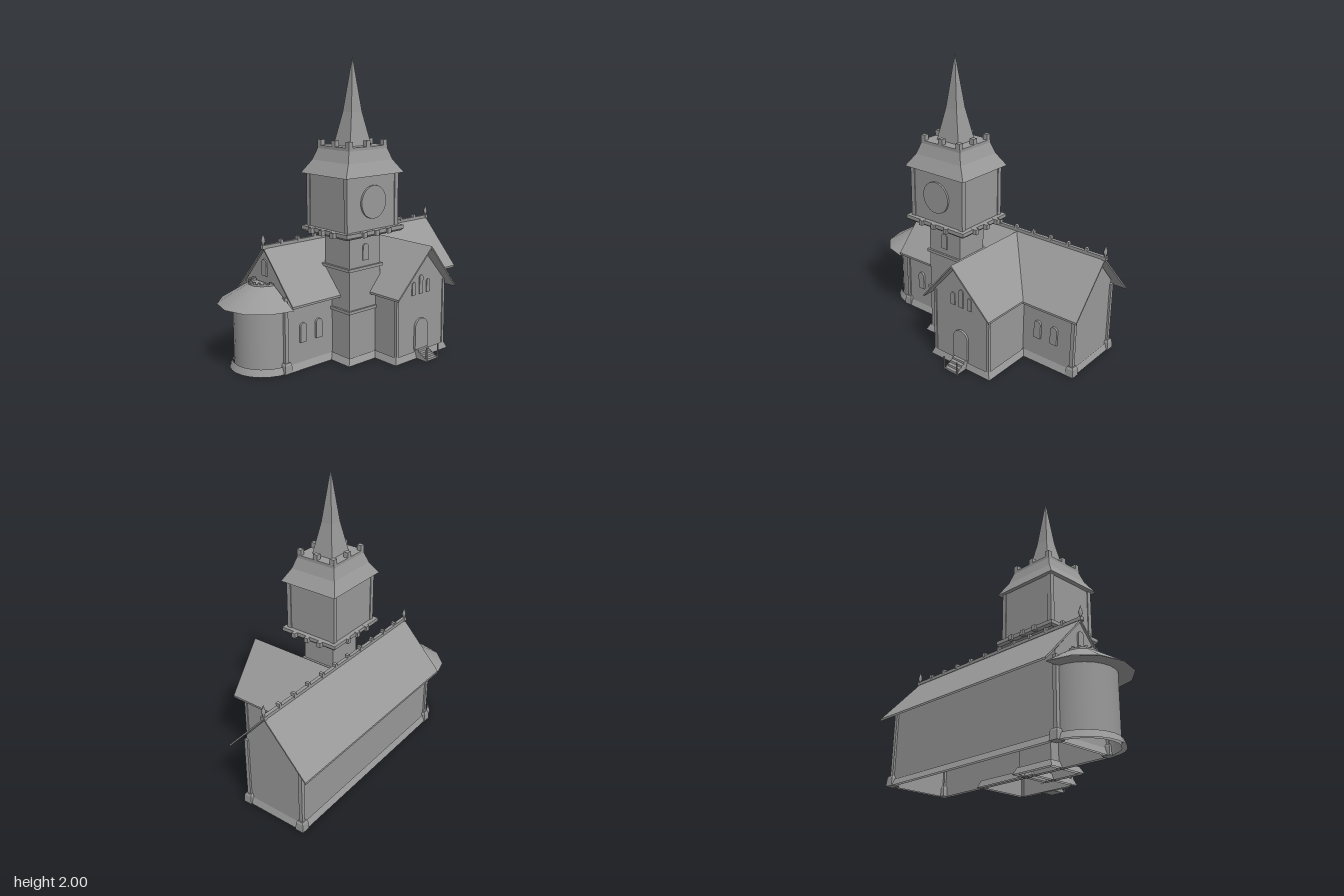
import * as THREE from 'three';

const mat = new THREE.MeshStandardMaterial({ color: 0x999999, side: THREE.DoubleSide });

export function createModel() {
  const root = new THREE.Group();
  const add = (name, geo, x = 0, y = 0, z = 0, parent = root) => {
    const m = new THREE.Mesh(geo, mat);
    m.name = name;
    m.position.set(x, y, z);
    parent.add(m);
    return m;
  };
  const box = (name, w, h, d, x, y, z) => add(name, new THREE.BoxGeometry(w, h, d), x, y, z);

  // Flat-shaded surface from convex polygons
  const faces = (list) => {
    const p = [];
    for (const f of list)
      for (let i = 1; i < f.length - 1; i++) p.push(...f[0], ...f[i], ...f[i + 1]);
    const g = new THREE.BufferGeometry();
    g.setAttribute('position', new THREE.Float32BufferAttribute(p, 3));
    g.computeVertexNormals();
    return g;
  };

  // Stack of rectangles [y, halfX, halfZ], open or closed at the ends
  const loft = (rings, capped = true) => {
    const r = rings.map(([y, a, b]) => [[-a, y, b], [a, y, b], [a, y, -b], [-a, y, -b]]);
    const list = [];
    for (let k = 0; k < r.length - 1; k++)
      for (let i = 0; i < 4; i++) {
        const j = (i + 1) % 4;
        list.push([r[k][i], r[k][j], r[k + 1][j], r[k + 1][i]]);
      }
    if (capped) list.push(r[r.length - 1], [...r[0]].reverse());
    return faces(list);
  };

  // Thin roof slab under a top quad
  const slab = (q, t = 0.014) => {
    const low = q.map(([x, y, z]) => [x, y - t, z]);
    const list = [q, [...low].reverse()];
    q.forEach((a, i) => { const j = (i + 1) % 4; list.push([a, low[i], low[j], q[j]]); });
    return faces(list);
  };

  // Arched panel facing +z, bottom centre at the origin
  const arch = (w, h, depth) => {
    const s = new THREE.Shape();
    s.moveTo(-w / 2, 0);
    s.lineTo(w / 2, 0);
    s.lineTo(w / 2, h - w / 2);
    s.absarc(0, h - w / 2, w / 2, 0, Math.PI, false);
    s.closePath();
    return new THREE.ExtrudeGeometry(s, { depth, bevelEnabled: false, curveSegments: 8 });
  };

  // Nave: hollow walls, gables and roof along x
  const X0 = -0.62, X1 = 0.848, ZB = -0.422, ZF = 0.015, ZR = -0.203, H = 0.53;
  const naveEnd = (x) => [[x, 0, ZF], [x, 0, ZB], [x, H, ZB], [x, 0.775, ZR], [x, H, ZF]];
  add('naveWalls', faces([
    [[X0, 0, ZF], [X1, 0, ZF], [X1, H, ZF], [X0, H, ZF]],
    [[X1, 0, ZB], [X0, 0, ZB], [X0, H, ZB], [X1, H, ZB]],
    naveEnd(X1), naveEnd(X0).reverse(),
  ]));
  add('naveRoofFront', slab([[-0.632, 0.457, 0.1], [0.918, 0.457, 0.1], [0.918, 0.79, ZR], [-0.632, 0.79, ZR]]));
  add('naveRoofBack', slab([[0.918, 0.457, -0.512], [-0.632, 0.457, -0.512], [-0.632, 0.79, ZR], [0.918, 0.79, ZR]]));
  add('navePlinth', loft([[0, 0.755, 0.245], [0.045, 0.738, 0.225]], false), 0.115, 0, -0.2035);
  for (const x of [X0 - 0.005, X1])
    for (const z of [ZF - 0.003, ZB]) {
      box('naveCornerPost', 0.026, 0.5, 0.026, x, 0.25, z);
      add('naveCornerBase', loft([[0, 0.031, 0.031], [0.055, 0.027, 0.027], [0.068, 0.02, 0.02]]), x, 0, z);
    }
  for (const x of [-0.49, -0.36, 0.575, 0.705])
    add('naveWindow', arch(0.052, 0.13, 0.018), x, 0.178, ZF - 0.003);
  add('gableWindow', arch(0.05, 0.11, 0.012), X0 + 0.002, 0.6, ZR).rotation.y = -Math.PI / 2;

  // Ridge bar with studs and end finials
  box('ridgeBar', 1.575, 0.022, 0.024, 0.143, 0.793, ZR);
  for (let i = 1; i < 11; i++) box('ridgeStud', 0.02, 0.03, 0.028, -0.63 + i * 0.141, 0.81, ZR);
  const finial = new THREE.LatheGeometry(
    [[0, 0], [0.008, 0], [0.008, 0.02], [0.014, 0.03], [0.013, 0.045], [0.007, 0.065], [0, 0.09]]
      .map(([r, y]) => new THREE.Vector2(r, y)), 8);
  for (const x of [-0.63, 0.916]) {
    add('finial', finial, x, 0.797, ZR);
    box('finialBlock', 0.024, 0.026, 0.03, x, 0.792, ZR);
  }

  // Apse: half-round walls and conical roof at the -x end
  const apse = new THREE.Group();
  apse.name = 'apse';
  apse.position.set(-0.628, 0, ZR);
  root.add(apse);
  const half = (rt, rb, h, n = 12) => new THREE.CylinderGeometry(rt, rb, h, n, 1, true, Math.PI, Math.PI);
  add('apseWall', half(0.208, 0.208, 0.44), 0, 0.22, 0, apse);
  add('apsePlinth', half(0.218, 0.238, 0.045), 0, 0.0225, 0, apse);
  add('apseRoof', half(0.1, 0.307, 0.128, 6), 0, 0.498, 0, apse);
  add('apseSoffit', new THREE.RingGeometry(0.19, 0.307, 6, 1, Math.PI / 2, Math.PI), 0, 0.433, 0, apse)
    .rotation.x = -Math.PI / 2;
  add('apseCrownRing', new THREE.LatheGeometry(
    [[0.106, 0.548], [0.106, 0.568], [0.086, 0.568], [0.086, 0.556], [0, 0.556]]
      .map(([r, y]) => new THREE.Vector2(r, y)), 12, Math.PI, Math.PI).toNonIndexed(), 0, 0, 0, apse)
    .geometry.computeVertexNormals();
  for (let i = 0; i < 8; i++) {
    const a = Math.PI + (i + 0.5) * Math.PI / 8;
    add('apseCrownStud', new THREE.BoxGeometry(0.014, 0.014, 0.02),
      0.096 * Math.sin(a), 0.572, 0.096 * Math.cos(a), apse).rotation.y = a;
  }

  // Front wing with its gable, roof running back into the nave roof
  const CX = 0.225, W = 0.228, FZ = 0.39, WH = 0.512;
  add('wingWalls', faces([
    [[CX - W, 0, FZ], [CX + W, 0, FZ], [CX + W, WH, FZ], [CX, 0.766, FZ], [CX - W, WH, FZ]],
    [[CX + W, 0, FZ], [CX + W, 0, ZF], [CX + W, WH, ZF], [CX + W, WH, FZ]],
    [[CX - W, 0, ZF], [CX - W, 0, FZ], [CX - W, WH, FZ], [CX - W, WH, ZF]],
  ]));
  const E = 0.279;
  add('wingRoofLeft', slab([[CX + E, 0.462, 0.455], [CX + E, 0.462, 0.095], [CX, 0.78, -0.19], [CX, 0.78, 0.487]]));
  add('wingRoofRight', slab([[CX - E, 0.462, 0.095], [CX - E, 0.462, 0.455], [CX, 0.78, 0.487], [CX, 0.78, -0.19]]));
  add('wingPlinth', loft([[0, 0.255, 0.21], [0.045, 0.236, 0.196]], false), CX, 0, 0.202);
  for (const s of [-1, 1]) box('wingCornerPost', 0.02, 0.5, 0.02, CX + s * (W - 0.002), 0.25, FZ - 0.002);
  [-0.07, 0, 0.07].forEach((dx) =>
    add('wingLancet', arch(0.034, dx ? 0.09 : 0.13, 0.01), CX + dx, 0.44, FZ - 0.003));

  // Door, steps and rail posts
  add('door', arch(0.122, 0.21, 0.018), CX, 0.06, FZ - 0.003);
  for (let i = 0; i < 4; i++) {
    const h = 0.015 * (i + 1);
    box('step', 0.1, h, 0.026, CX, h / 2, 0.485 - i * 0.024);
  }
  for (const s of [-1, 1]) {
    box('stepPost', 0.008, 0.1, 0.008, CX + s * 0.056, 0.05, 0.503);
    add('stepCheek', faces([[[0, 0, 0.505], [0, 0, 0.39], [0, 0.06, 0.39], [0, 0.012, 0.505]]]), CX + s * 0.054);
  }

  // Tower shaft
  const TX = -0.098, TZ = 0.067;
  const atTower = (name, geo, x = 0, y = 0, z = 0) => add(name, geo, TX + x, y, TZ + z);
  atTower('towerShaft', loft([[0, 0.137, 0.122], [0.88, 0.137, 0.122]], false));
  atTower('towerPlinth', loft([[0, 0.168, 0.15], [0.045, 0.145, 0.13]], false));
  for (const y of [0.355, 0.638]) atTower('towerBand', new THREE.BoxGeometry(0.304, 0.02, 0.27), 0, y, 0);
  atTower('towerWindow', arch(0.05, 0.11, 0.012), 0, 0.69, 0.119);
  for (const sx of [-1, 1])
    for (const sz of [-1, 1])
      atTower('belfryCornerPost', new THREE.BoxGeometry(0.032, 0.36, 0.032), sx * 0.21, 1.08, sz * 0.183);

  // Belfry on a bracketed platform
  atTower('platform', loft([[0.866, 0.24, 0.21], [0.88, 0.253, 0.225], [0.905, 0.253, 0.225]]));
  for (const s of [-1, 1])
    for (const k of [-1, 0, 1]) {
      atTower('bracketZ', new THREE.BoxGeometry(0.03, 0.035, 0.04), k * 0.108, 0.888, s * 0.22);
      atTower('bracketX', new THREE.BoxGeometry(0.045, 0.035, 0.03), s * 0.257, 0.888, k * 0.108);
      atTower('shaftCorbelZ', new THREE.BoxGeometry(0.03, 0.022, 0.05), k * 0.108, 0.868, s * 0.14);
      atTower('shaftCorbelX', new THREE.BoxGeometry(0.05, 0.022, 0.03), s * 0.155, 0.868, k * 0.095);
    }
  atTower('belfry', loft([[0.9, 0.22, 0.193], [1.26, 0.22, 0.193]]));
  atTower('clockFace', new THREE.CylinderGeometry(0.108, 0.108, 0.024, 24), 0, 1.085, 0.194).rotation.x = Math.PI / 2;

  // Flared roof, parapet blocks and spire
  atTower('belfryRoof', loft([[1.255, 0.255, 0.222], [1.34, 0.195, 0.176], [1.415, 0.168, 0.152], [1.435, 0.168, 0.152]]));
  for (const i of [-1, 0, 1])
    for (const j of [-1, 0, 1])
      if (i || j) atTower('parapetBlock', new THREE.BoxGeometry(0.034, 0.045, 0.034), i * 0.15, 1.45, j * 0.135);
  atTower('spire', loft([[1.43, 0.094, 0.081], [1.65, 0.046, 0.042], [2, 0.0005, 0.0005]]));

  return root;
}
